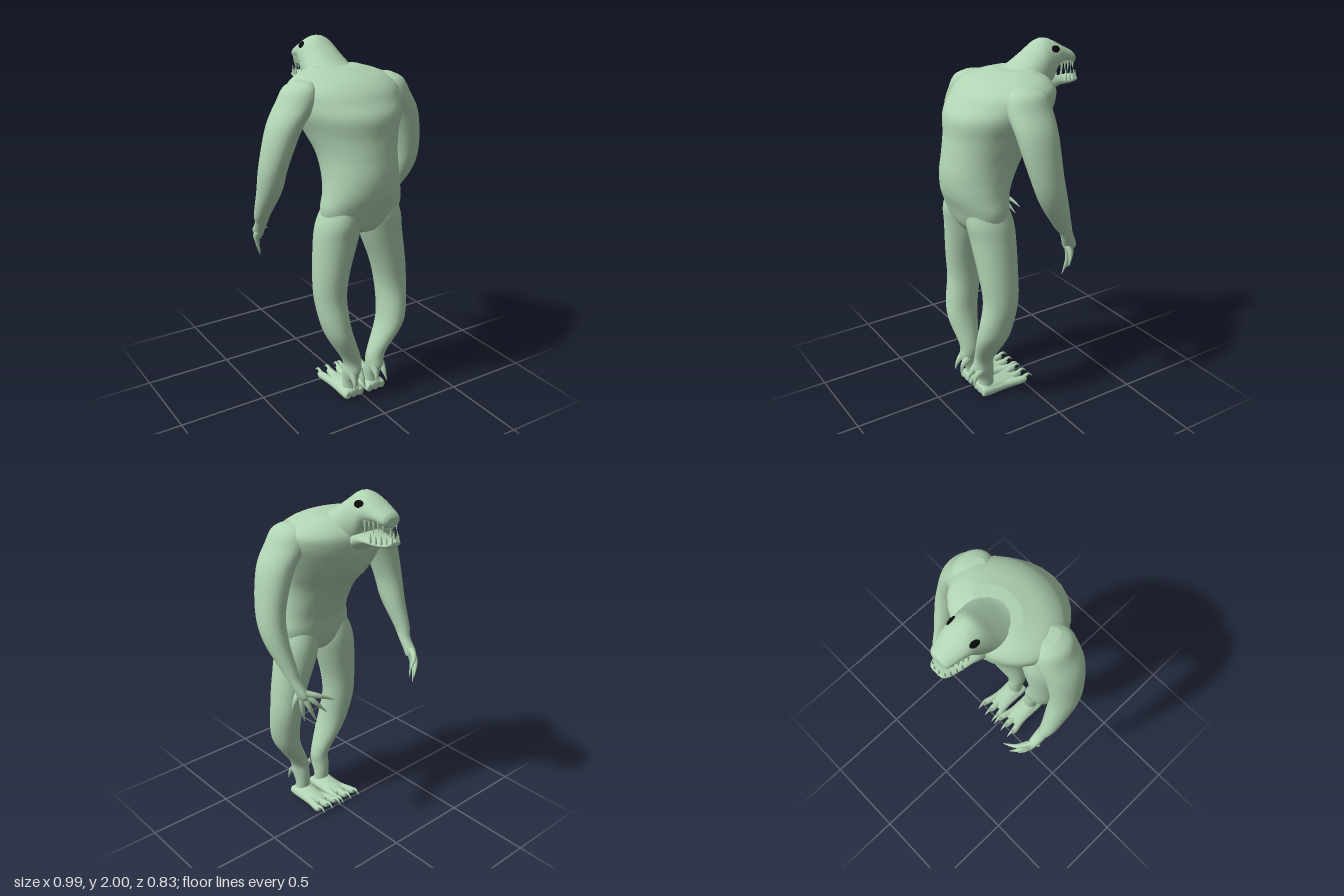
import * as THREE from 'three';

const skin = new THREE.MeshStandardMaterial({ color: 0xb1d4b3 });
skin.name = 'pale green skin';
const black = new THREE.MeshStandardMaterial({ color: 0x0a0c0a });
black.name = 'black eye';

// Smooth body from elliptical rings [x, y, z, a, b]; rings lie flat (axis 'y', rising)
// or stand upright (axis 'z', running forward to -z).
function loft(rows, axis, steps = 5, seg = 28) {
  const rings = [];
  const spline = (p, q, r, s, t) => 0.5 * (2 * q + (r - p) * t + (2 * p - 5 * q + 4 * r - s) * t * t + (3 * q - p - 3 * r + s) * t * t * t);
  for (let i = 0; i < rows.length - 1; i++) {
    const q = rows[i], r = rows[i + 1], p = rows[i - 1] || q, s = rows[i + 2] || r;
    for (let k = 0; k < steps; k++) rings.push(q.map((_, c) => spline(p[c], q[c], r[c], s[c], k / steps)));
  }
  rings.push(rows[rows.length - 1]);
  const pos = [], idx = [];
  for (const [x, y, z, a, b] of rings) {
    for (let j = 0; j < seg; j++) {
      const t = (j / seg) * Math.PI * 2, u = a * Math.cos(t), v = b * Math.sin(t);
      if (axis === 'y') pos.push(x + u, y, z + v);
      else pos.push(x + u, y + v, z);
    }
  }
  const first = rings[0], last = rings[rings.length - 1], n = rings.length * seg;
  pos.push(first[0], first[1], first[2], last[0], last[1], last[2]);
  for (let j = 0; j < seg; j++) {
    const k = (j + 1) % seg;
    for (let i = 0; i < rings.length - 1; i++) {
      const a = i * seg + j, b = i * seg + k;
      idx.push(a, a + seg, b, b, a + seg, b + seg);
    }
    idx.push(n, j, k, n + 1, n - seg + k, n - seg + j);
  }
  const g = new THREE.BufferGeometry();
  g.setAttribute('position', new THREE.Float32BufferAttribute(pos, 3));
  g.setIndex(idx);
  g.computeVertexNormals();
  return g;
}

// Tube along points that tapers from r0 to r1, bulging by the given power
function taper(points, r0, r1, power = 1) {
  const curve = new THREE.CatmullRomCurve3(points.map((p) => new THREE.Vector3(...p)));
  const n = 12, seg = 10, g = new THREE.TubeGeometry(curve, n, 1, seg);
  const p = g.attributes.position, v = new THREE.Vector3();
  for (let i = 0; i <= n; i++) {
    const c = curve.getPointAt(i / n), r = r0 + (r1 - r0) * Math.pow(i / n, power);
    for (let j = 0; j <= seg; j++) {
      const k = i * (seg + 1) + j;
      v.fromBufferAttribute(p, k).sub(c).multiplyScalar(r).add(c);
      p.setXYZ(k, v.x, v.y, v.z);
    }
  }
  g.computeVertexNormals();
  return g;
}

export function createModel() {
  const model = new THREE.Group();
  model.name = 'creature';
  const add = (name, geo, mat = skin) => {
    const m = new THREE.Mesh(geo, mat);
    m.name = name;
    model.add(m);
    return m;
  };

  // Torso: [height, front z, back z, half width]
  add('torso', loft([
    [1.03, 0.13, 0.31, 0.1], [1.08, 0.1, 0.345, 0.21], [1.16, 0.08, 0.375, 0.238], [1.25, 0.06, 0.41, 0.22],
    [1.35, 0.01, 0.42, 0.208], [1.45, -0.05, 0.405, 0.215], [1.55, -0.14, 0.388, 0.248],
    [1.65, -0.19, 0.378, 0.29], [1.72, -0.205, 0.33, 0.31], [1.78, -0.2, 0.28, 0.305],
    [1.83, -0.16, 0.2, 0.24], [1.865, -0.1, 0.08, 0.13],
  ].map(([y, f, b, w]) => [0.008, y, (f + b) / 2, w, (b - f) / 2]), 'y'));

  // Head and jaw: [z, top, bottom, half width]
  const upright = ([z, t, b, w]) => [0, (t + b) / 2, z, w, (t - b) / 2];
  add('neckAndHead', loft([
    [0.1, 1.84, 1.6, 0.2], [0, 1.877, 1.6, 0.17], [-0.1, 1.945, 1.63, 0.138], [-0.17, 1.995, 1.69, 0.115],
    [-0.22, 1.998, 1.75, 0.102], [-0.26, 1.982, 1.83, 0.092], [-0.32, 1.95, 1.855, 0.077],
    [-0.37, 1.925, 1.85, 0.063], [-0.385, 1.912, 1.852, 0.052], [-0.392, 1.9, 1.86, 0.036],
  ].map(upright), 'z'));
  add('lowerJaw', loft([
    [-0.12, 1.8, 1.64, 0.1], [-0.2, 1.82, 1.695, 0.098], [-0.26, 1.8, 1.738, 0.086], [-0.33, 1.782, 1.745, 0.072],
    [-0.385, 1.785, 1.748, 0.058], [-0.405, 1.785, 1.755, 0.045], [-0.412, 1.78, 1.762, 0.03],
  ].map(upright), 'z'));

  // Teeth follow the rims of both jaws
  const tooth = (name, x, y, z, len, up) => {
    const m = add(name, new THREE.ConeGeometry(0.009, len, 8));
    m.position.set(x, y + (up ? len / 2 : -len / 2), z);
    if (!up) m.rotation.x = Math.PI;
  };
  for (const s of [-1, 1]) {
    [[0.075, -0.275, 0.085], [0.07, -0.3, 0.055], [0.064, -0.325, 0.07], [0.057, -0.35, 0.05], [0.045, -0.372, 0.06], [0.016, -0.383, 0.04]]
      .forEach(([x, z, l]) => tooth('upperTooth', s * x, 1.88, z, l, false));
    [[0.07, -0.31, 0.06], [0.063, -0.34, 0.05], [0.055, -0.37, 0.06], [0.042, -0.393, 0.05], [0.015, -0.405, 0.055]]
      .forEach(([x, z, l]) => tooth('lowerTooth', s * x, 1.765, z, l, true));
    // Eye: thin oval lying on the side of the head
    const eye = add('eye', new THREE.SphereGeometry(1, 20, 14), black);
    eye.scale.set(0.008, 0.02, 0.028);
    eye.position.set(s * 0.078, 1.95, -0.232);
    eye.rotation.set(0, s * 0.16, s * 0.55);
  }

  // Arms and hands; the two hands hang slightly differently
  const arms = [
    { s: 1, wrist: 0.395, palm: [0.37, 0.965, -0.135],
      tips: [[0.22, 0.91, -0.21], [0.27, 0.85, -0.205], [0.31, 0.79, -0.17], [0.345, 0.78, -0.11], [0.42, 0.86, -0.1]] },
    { s: -1, wrist: 0.425, palm: [0.415, 0.975, -0.15],
      tips: [[0.3, 0.925, -0.265], [0.345, 0.87, -0.26], [0.375, 0.81, -0.22], [0.4, 0.815, -0.17], [0.44, 0.9, -0.13]] },
  ];
  for (const { s, wrist, palm, tips } of arms) {
    add('arm', loft([
      [palm[0], palm[1] - 0.03, palm[2], 0.02, 0.028], [palm[0] + 0.005, palm[1], palm[2] + 0.005, 0.029, 0.042],
      [wrist, 1.04, -0.095, 0.034, 0.036], [wrist + 0.01, 1.1, -0.06, 0.043, 0.05], [0.428, 1.25, 0.015, 0.064, 0.078],
      [0.42, 1.4, 0.058, 0.073, 0.093], [0.365, 1.6, 0.08, 0.088, 0.115], [0.29, 1.72, 0.08, 0.1, 0.122],
      [0.27, 1.79, 0.08, 0.08, 0.1], [0.25, 1.822, 0.08, 0.04, 0.05],
    ].map(([x, ...r]) => [s * x, ...r]), 'y'));
    tips.forEach((tip, i) => {
      const root = [palm[0], palm[1] + 0.01, palm[2] + 0.03 - 0.012 * (4 - i)];
      const knuckle = root.map((v, k) => v + (tip[k] - v) * 0.5 + [0.014, 0.012, -0.012][k]);
      add('clawedFinger', taper([root, knuckle, tip].map(([x, y, z]) => [s * x, y, z]), 0.019, 0.002, 1.4));
    });
  }

  // Legs and feet; the stance leans a little towards +x
  for (const s of [-1, 1]) {
    add('leg', loft([
      [0.075, 0.02, 0.03, 0.235, 0.045, 0.042], [0.075, 0.02, 0.1, 0.235, 0.045, 0.046], [0.078, 0.02, 0.17, 0.252, 0.05, 0.062],
      [0.085, 0.025, 0.25, 0.252, 0.054, 0.058], [0.16, 0.03, 0.4, 0.25, 0.072, 0.09], [0.189, 0.029, 0.5, 0.238, 0.08, 0.098],
      [0.2, 0.025, 0.65, 0.212, 0.089, 0.1], [0.185, 0.016, 0.8, 0.21, 0.1, 0.11], [0.142, 0.005, 1, 0.21, 0.122, 0.126],
      [0.125, 0.004, 1.1, 0.22, 0.118, 0.13], [0.11, 0.004, 1.2, 0.23, 0.09, 0.11],
    ].map(([x, lean, ...r]) => [s * x + lean, ...r]), 'y'));
    const fx = s * 0.075 + 0.02;
    add('foot', loft([
      [fx, 0.035, 0.285, 0.03, 0.02], [fx, 0.04, 0.26, 0.052, 0.035], [fx, 0.04, 0.19, 0.056, 0.035],
      [fx, 0.035, 0.1, 0.058, 0.026], [fx, 0.035, 0.05, 0.05, 0.015],
    ], 'z'));
    for (const o of [-0.042, 0, 0.042]) {
      const x = fx + o, tx = fx + o * 1.5;
      add('toe', loft([
        [x, 0.03, 0.285, 0.012, 0.012], [x, 0.03, 0.265, 0.024, 0.027], [x, 0.03, 0.12, 0.024, 0.025],
        [tx, 0.038, 0.02, 0.021, 0.022], [tx, 0.04, -0.005, 0.012, 0.012],
      ], 'z', 4, 14));
      add('toeClaw', taper([[tx, 0.045, 0.02], [tx, 0.062, -0.02], [tx, 0.04, -0.05]], 0.014, 0.002));
    }
    for (const o of [-0.028, 0.028]) {
      add('heelSpur', taper([[fx + o, 0.18, 0.28], [fx + o, 0.14, 0.318], [fx + o * 1.3, 0.085, 0.335]], 0.024, 0.002));
    }
  }
  return model;
}
